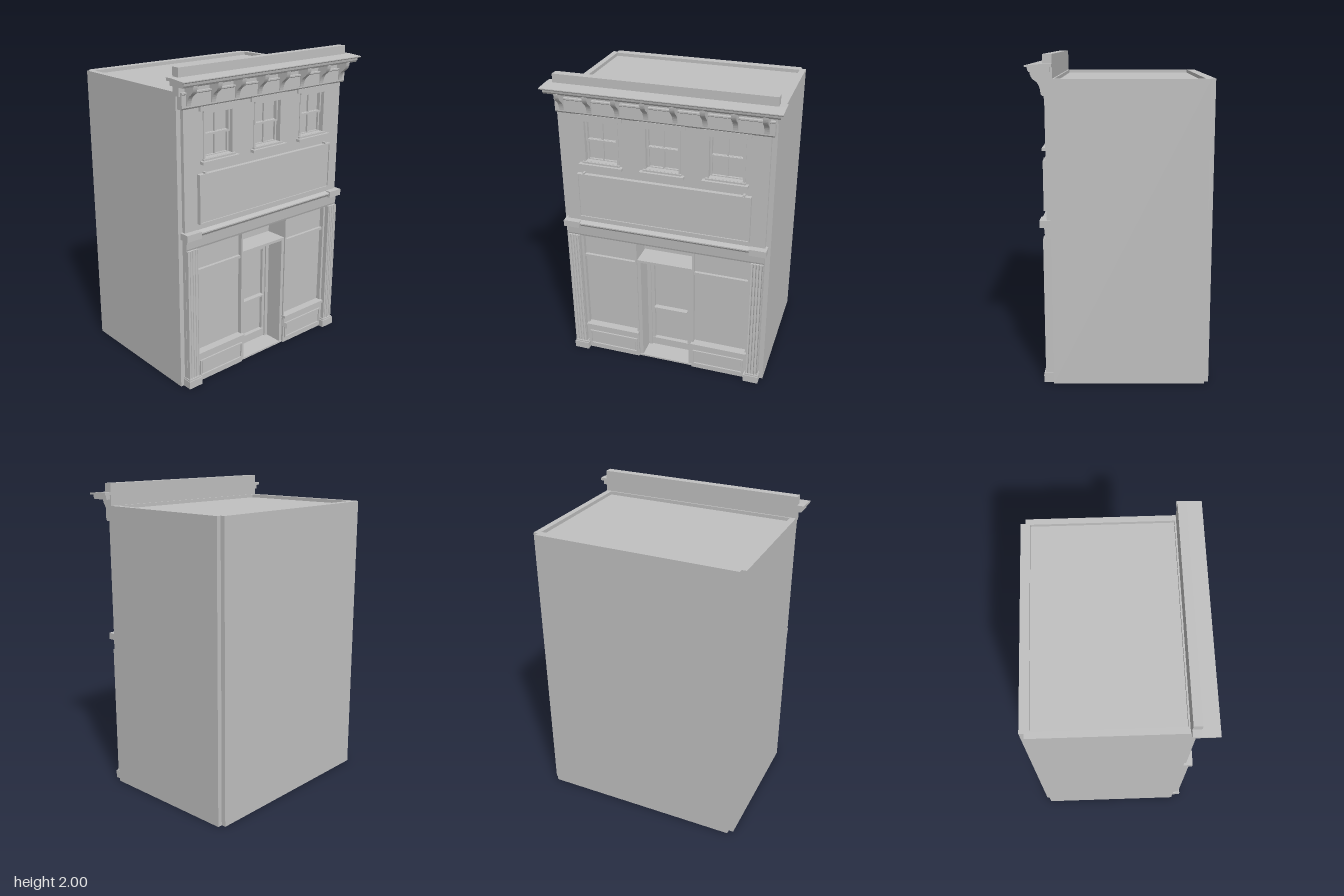
import * as THREE from 'three';

const stone = new THREE.MeshStandardMaterial({ color: 0xc0c0c0 });
stone.name = 'plain grey';

export function createModel() {
  const model = new THREE.Group();
  model.name = 'shopBuilding';

  const add = (name, geometry, parent = model) => {
    const mesh = new THREE.Mesh(geometry, stone);
    mesh.name = name;
    parent.add(mesh);
    return mesh;
  };
  // Box given by its limits on each axis
  const box = (name, x0, x1, y0, y1, z0, z1, parent) =>
    add(name, new THREE.BoxGeometry(x1 - x0, y1 - y0, z1 - z0)
      .translate((x0 + x1) / 2, (y0 + y1) / 2, (z0 + z1) / 2), parent);
  // Moulding: a [z, y] profile run along x
  const moulding = (name, points, x0, x1, parent) => {
    const shape = new THREE.Shape(points.map(p => new THREE.Vector2(...p)));
    const g = new THREE.ExtrudeGeometry(shape, { depth: x1 - x0, bevelEnabled: false });
    return add(name, g.rotateY(-Math.PI / 2).translate(x1, 0, 0), parent);
  };
  const rectPath = (path, x0, x1, y0, y1) => {
    path.moveTo(x0, y0); path.lineTo(x1, y0);
    path.lineTo(x1, y1); path.lineTo(x0, y1); path.closePath();
    return path;
  };
  // Rectangular frame with an open middle
  const frame = (name, x0, x1, y0, y1, t, z0, z1, parent) => {
    const shape = rectPath(new THREE.Shape(), x0, x1, y0, y1);
    shape.holes.push(rectPath(new THREE.Path(), x0 + t, x1 - t, y0 + t, y1 - t));
    const g = new THREE.ExtrudeGeometry(shape, { depth: z1 - z0, bevelEnabled: false });
    return add(name, g.translate(0, 0, z0), parent);
  };

  // Shell: side walls, inset back wall, sunken roof and floor
  for (const s of [-1, 1]) {
    const [a, b] = s < 0 ? [-0.68, -0.642] : [0.642, 0.68];
    box('sideWall', a, b, 0, 1.862, -0.513, 0.415);
  }
  box('backWall', -0.65, 0.65, 0, 1.862, -0.542, -0.485);
  box('roof', -0.645, 0.645, 1.8, 1.84, -0.49, 0.4);
  box('floor', -0.645, 0.645, 0.008, 0.03, -0.49, 0.28);
  box('entranceFloor', -0.2, 0.2, 0, 0.012, 0.26, 0.43);

  // Upper front wall with three window openings
  const windowX = [-0.393, 0, 0.393];
  const wall = rectPath(new THREE.Shape(), -0.65, 0.65, 0.92, 1.862);
  windowX.forEach(x => wall.holes.push(rectPath(new THREE.Path(), x - 0.117, x + 0.117, 1.44, 1.74)));
  add('upperFrontWall', new THREE.ExtrudeGeometry(wall, { depth: 0.06, bevelEnabled: false })
    .translate(0, 0, 0.38));
  box('parapet', -0.68, 0.68, 1.84, 2, 0.39, 0.443);

  // Sash windows
  windowX.forEach(x => {
    const w = new THREE.Group();
    w.name = 'upperWindow';
    w.position.x = x;
    model.add(w);
    box('pane', -0.12, 0.12, 1.43, 1.75, 0.37, 0.395, w);
    frame('casing', -0.117, 0.117, 1.445, 1.735, 0.014, 0.39, 0.445, w);
    frame('upperSash', -0.104, 0.104, 1.585, 1.725, 0.012, 0.39, 0.42, w);
    frame('lowerSash', -0.104, 0.104, 1.452, 1.598, 0.012, 0.39, 0.41, w);
    box('muntin', -0.005, 0.005, 1.455, 1.72, 0.39, 0.408, w);
    box('sill', -0.14, 0.14, 1.43, 1.447, 0.43, 0.473, w);
    box('sillApron', -0.122, 0.122, 1.445, 1.458, 0.39, 0.455, w);
    box('headerCap', -0.146, 0.146, 1.74, 1.767, 0.43, 0.455, w);
    box('headerBase', -0.118, 0.118, 1.728, 1.742, 0.42, 0.452, w);
  });

  // Frieze, curved brackets and top cornice
  moulding('frieze', [[0.415, 1.765], [0.45, 1.765], [0.457, 1.775], [0.457, 1.848],
    [0.463, 1.853], [0.463, 1.862], [0.415, 1.862]], -0.67, 0.67);
  for (let i = 0; i < 8; i++) {
    const x = -0.625 + i * 1.25 / 7;
    const s = new THREE.Shape();
    s.moveTo(0.44, 1.78);
    s.lineTo(0.462, 1.785);
    s.quadraticCurveTo(0.468, 1.835, 0.495, 1.85);
    s.quadraticCurveTo(0.52, 1.865, 0.523, 1.905);
    s.lineTo(0.44, 1.905);
    add('bracket', new THREE.ExtrudeGeometry(s, { depth: 0.03, bevelEnabled: false, curveSegments: 6 })
      .rotateY(-Math.PI / 2).translate(x + 0.015, 0, 0));
  }
  moulding('corniceBed', [[0.4, 1.9], [0.518, 1.9], [0.526, 1.912], [0.53, 1.932], [0.4, 1.932]], -0.708, 0.708);
  moulding('corniceCap', [[0.39, 1.928], [0.538, 1.928], [0.542, 1.933], [0.542, 1.938],
    [0.44, 1.946], [0.39, 1.946]], -0.724, 0.724);

  // Sign board with a raised rim and hanging lugs
  box('signBoard', -0.553, 0.553, 1.07, 1.372, 0.43, 0.459);
  frame('signRim', -0.555, 0.555, 1.068, 1.374, 0.008, 0.435, 0.467);
  for (const x of [-0.51, 0.51]) box('signLug', x - 0.006, x + 0.006, 1.365, 1.385, 0.435, 0.465);

  // Shopfront lintel and its moulding
  moulding('lintel', [[0.38, 0.918], [0.448, 0.918], [0.452, 0.93], [0.458, 0.995],
    [0.468, 1.012], [0.4, 1.012]], -0.65, 0.65);
  moulding('shopCornice', [[0.415, 1.005], [0.465, 1.005], [0.476, 1.014], [0.476, 1.022],
    [0.44, 1.03], [0.415, 1.03]], -0.655, 0.655);

  // Mirrored shopfront halves
  for (const s of [-1, 1]) {
    const half = new THREE.Group();
    half.name = s < 0 ? 'rightShopfront' : 'leftShopfront';
    model.add(half);
    const m = (name, a, b, ...rest) =>
      box(name, Math.min(s * a, s * b), Math.max(s * a, s * b), ...rest, half);

    m('corniceEndBlock', 0.558, 0.665, 0.99, 1.032, 0.415, 0.482);
    m('displayWindow', 0.19, 0.645, 0, 0.925, 0.27, 0.405);
    m('cornerStrip', 0.6, 0.65, 0, 0.925, 0.38, 0.44);
    m('doorPost', 0.188, 0.2, 0, 0.92, 0.39, 0.435);
    m('windowJamb', 0.555, 0.572, 0.19, 0.92, 0.39, 0.435);
    m('transomBar', 0.198, 0.56, 0.744, 0.762, 0.39, 0.425);
    m('windowHead', 0.198, 0.56, 0.908, 0.92, 0.39, 0.43);

    // Bulkhead below the glass
    m('bulkhead', 0.19, 0.572, 0, 0.195, 0.38, 0.44);
    m('bulkheadSill', 0.186, 0.566, 0.19, 0.208, 0.38, 0.458);
    const c = s * 0.374;
    frame('bulkheadFrame', c - 0.174, c + 0.174, 0.036, 0.148, 0.008, 0.435, 0.45, half);
    box('bulkheadPanel', c - 0.16, c + 0.16, 0.05, 0.142, 0.435, 0.446, half);

    // Fluted pilaster: scalloped plan run upward
    const plan = new THREE.Shape();
    plan.moveTo(-0.039, -0.4);
    plan.lineTo(-0.039, -0.465);
    for (let k = 0; k < 4; k++) {
      const x = -0.0285 + k * 0.019;
      plan.lineTo(x - 0.007, -0.465);
      plan.absarc(x, -0.465, 0.007, Math.PI, 0, true);
    }
    plan.lineTo(0.039, -0.465);
    plan.lineTo(0.039, -0.4);
    add('pilaster', new THREE.ExtrudeGeometry(plan, { depth: 0.87, bevelEnabled: false, curveSegments: 5 })
      .rotateX(-Math.PI / 2).translate(s * 0.61, 0.05, 0), half);
    m('pilasterBase', 0.557, 0.658, 0, 0.05, 0.4, 0.476);
    m('pilasterBaseCap', 0.563, 0.654, 0.05, 0.06, 0.4, 0.47);

    // Side of the entrance recess
    m('recessWall', 0.165, 0.192, 0, 0.77, 0.27, 0.425);
    m('doorJamb', 0.14, 0.167, 0, 0.765, 0.27, 0.305);
  }

  // Entrance recess and door
  box('recessCeiling', -0.188, 0.188, 0.765, 0.782, 0.26, 0.425);
  box('recessBack', -0.195, 0.195, 0, 0.94, 0.25, 0.275);
  box('recessSoffit', -0.195, 0.195, 0.92, 0.94, 0.26, 0.42);
  box('doorHead', -0.167, 0.167, 0.7, 0.722, 0.27, 0.308);
  frame('transomFrame', -0.142, 0.142, 0.715, 0.768, 0.008, 0.27, 0.3);
  frame('doorLeaf', -0.14, 0.14, 0.014, 0.702, 0.022, 0.27, 0.296);
  box('kickPlate', -0.135, 0.135, 0.02, 0.07, 0.27, 0.3);
  box('kickRail', -0.125, 0.125, 0.066, 0.076, 0.27, 0.304);
  box('doorTopRail', -0.125, 0.125, 0.675, 0.69, 0.27, 0.292);
  box('pushBar', -0.116, 0.116, 0.334, 0.345, 0.28, 0.315);

  return model;
}
